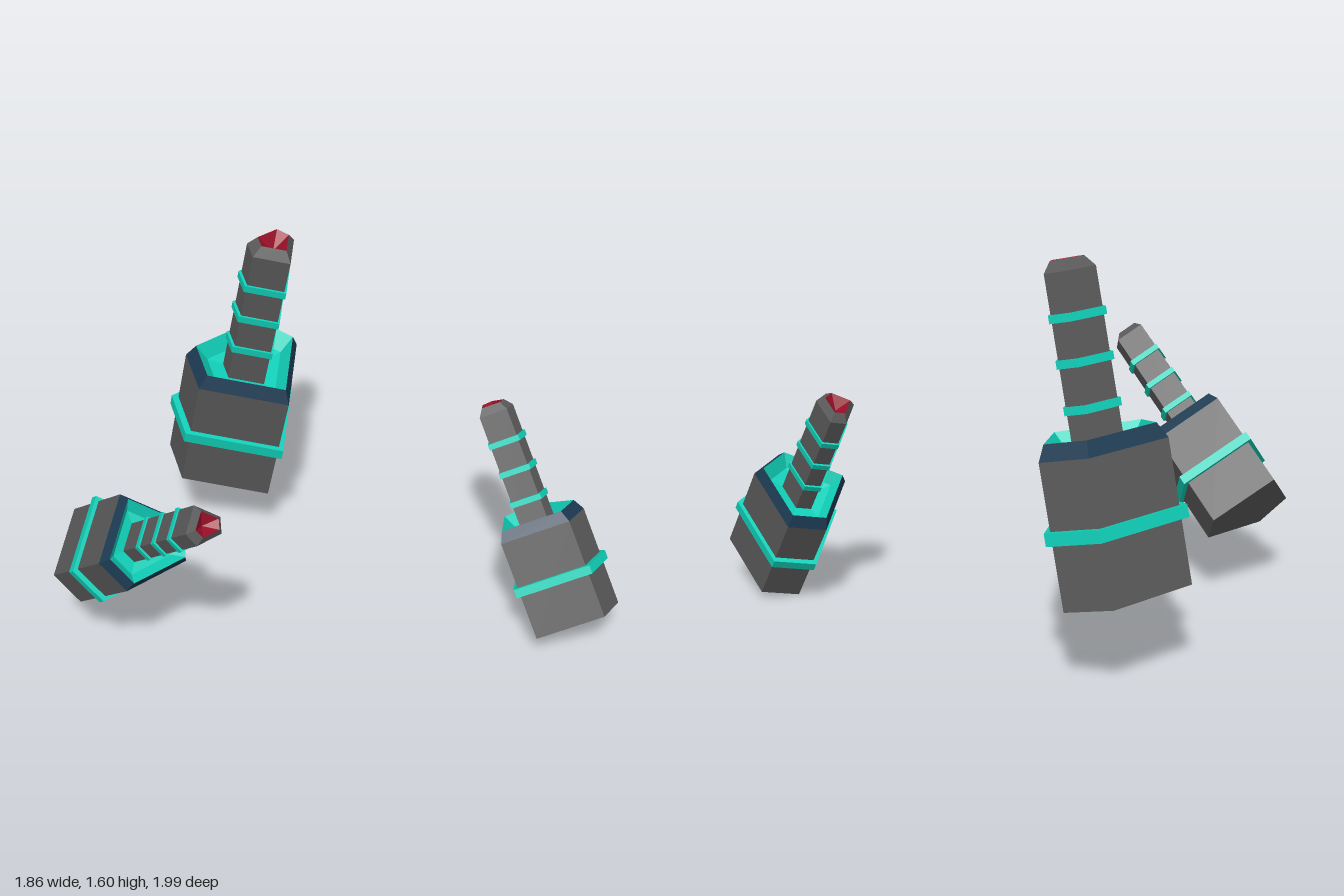
import * as THREE from 'three';

const material = (name, color) => {
  const m = new THREE.MeshStandardMaterial({ color });
  m.name = name;
  return m;
};

// Five-sided cross-section: an apex, two sides and a flat back
const ANGLES = [0, 90, 135, 225, 270].map(THREE.MathUtils.degToRad);
const RADIUS = 0.275;

// Faceted skin through [scale, height] rings
function loft(rings) {
  const pos = [];
  const point = ([s, y], i) => {
    const a = ANGLES[i % ANGLES.length];
    return [Math.sin(a) * RADIUS * s, y, Math.cos(a) * RADIUS * s];
  };
  for (let k = 0; k < rings.length - 1; k++) {
    const lo = rings[k], hi = rings[k + 1];
    for (let i = 0; i < ANGLES.length; i++) {
      const a = point(lo, i), b = point(lo, i + 1), c = point(hi, i + 1), d = point(hi, i);
      if (lo[0] > 0) pos.push(...a, ...b, ...c);
      if (hi[0] > 0) pos.push(...a, ...c, ...d);
    }
  }
  const g = new THREE.BufferGeometry();
  g.setAttribute('position', new THREE.Float32BufferAttribute(pos, 3));
  g.computeVertexNormals();
  return g;
}

// Raised square-edged ring around the column
const bandRings = (inner, outer, y, h) => [
  [inner, y - h / 2], [outer, y - h / 2], [outer, y + h / 2], [inner, y + h / 2],
];

export function createModel() {
  const stone = material('stone grey', 0x5a5a5a);
  const teal = material('bright teal', 0x10cfb8);
  const navy = material('dark navy', 0x1c3a52);
  const red = material('deep red', 0x980f28);

  const parts = [
    ['base', stone, [[0, 0], [1, 0], [1, 0.565]]],
    ['shoulder', navy, [[1, 0.565], [0.87, 0.627]]],
    ['basin', teal, [[0.87, 0.627], [0.66, 0.562], [0.39, 0.55]]],
    ['baseBand', teal, bandRings(0.98, 1.11, 0.281, 0.05)],
    ['neck', stone, [[0.4, 0.54], [0.4, 1.239], [0.265, 1.282]]],
    ['tipHollow', red, [[0.265, 1.282], [0, 1.225]]],
    ...[0.725, 0.9, 1.07].map((y, i) => ['neckBand' + (i + 1), teal, bandRings(0.39, 0.445, y, 0.032)]),
  ].map(([name, mat, rings]) => [name, mat, loft(rings)]);

  // Column placements: position, scale, lean about x, turn about own axis (degrees)
  const columns = [
    ['largeColumn', [0.237, 0.347, -0.803], 1, 15.2, 0],
    ['fallenColumn', [-0.695, 0.396, -0.553], 0.764, 52.5, 180],
    ['leaningColumn', [0.765, 0.116, 0.823], 0.764, -33, -90],
  ];

  const model = new THREE.Group();
  model.name = 'columnCluster';
  for (const [name, position, scale, lean, turn] of columns) {
    const column = new THREE.Group();
    column.name = name;
    for (const [partName, mat, geometry] of parts) {
      const mesh = new THREE.Mesh(geometry, mat);
      mesh.name = partName;
      column.add(mesh);
    }
    column.position.set(...position);
    column.rotation.set(THREE.MathUtils.degToRad(lean), THREE.MathUtils.degToRad(turn), 0);
    column.scale.setScalar(scale);
    model.add(column);
  }
  return model;
}
